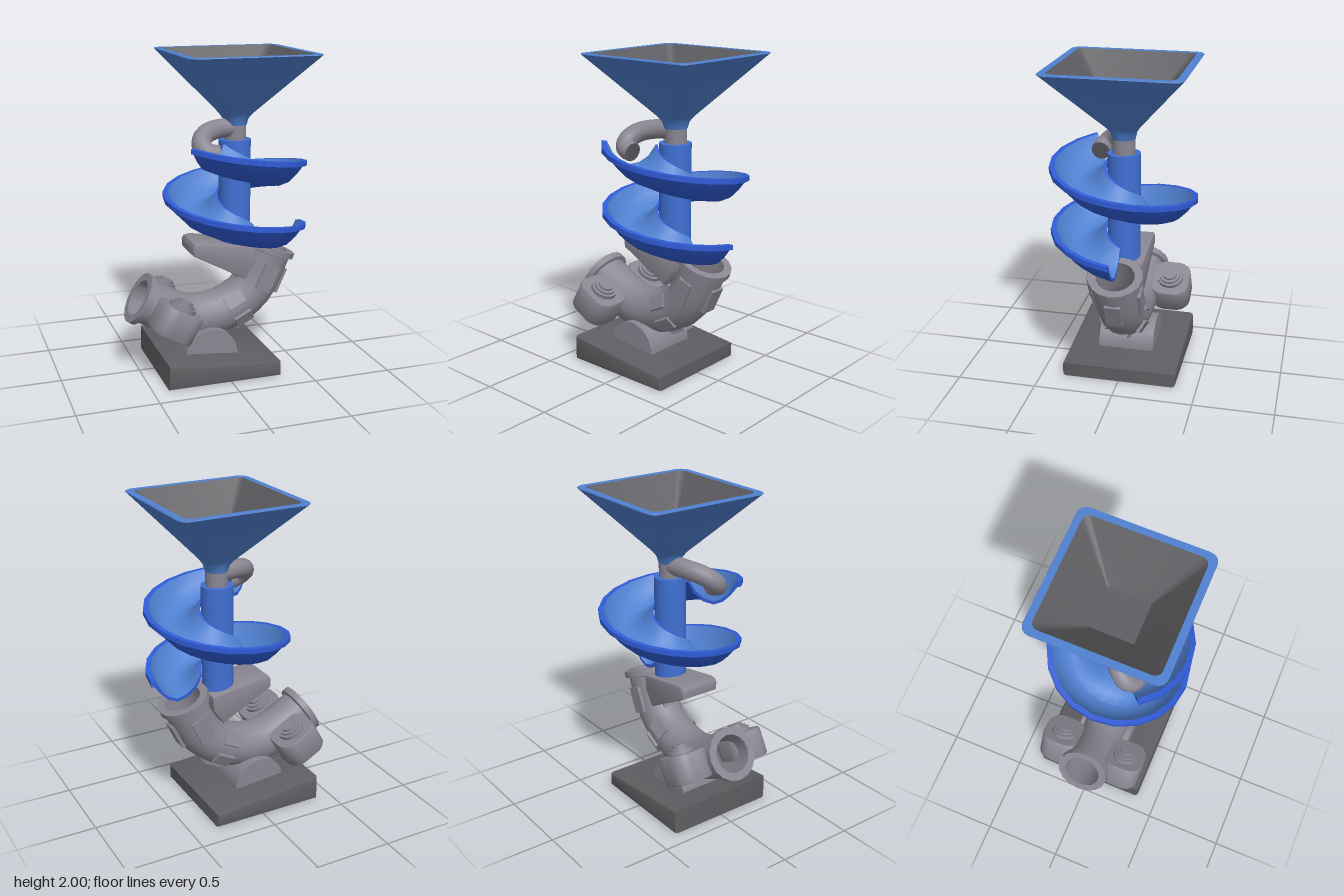
import * as THREE from 'three';
import { toCreasedNormals } from 'three/addons/utils/BufferGeometryUtils.js';

const V = (x, y, z) => new THREE.Vector3(x, y, z);
const AXIS = 0.14; // x of the upright column

function material(name, color) {
  const m = new THREE.MeshStandardMaterial({ color, side: THREE.DoubleSide });
  m.name = name;
  return m;
}

// Skin a list of equally long point rows
function loft(rows, closed, crease = 0.6) {
  const n = rows[0].length, pos = [], idx = [];
  rows.forEach(r => r.forEach(p => pos.push(p.x, p.y, p.z)));
  for (let i = 0; i < rows.length - 1; i++) {
    for (let j = 0; j < (closed ? n : n - 1); j++) {
      const k = (j + 1) % n, a = i * n + j, b = a + n, c = (i + 1) * n + k, d = i * n + k;
      idx.push(a, b, c, a, c, d);
    }
  }
  const g = new THREE.BufferGeometry();
  g.setAttribute('position', new THREE.Float32BufferAttribute(pos, 3));
  g.setIndex(idx);
  g.computeVertexNormals();
  return toCreasedNormals(g, crease);
}

// Horizontal rounded square of half width h and corner radius r
function squareRing(y, h, r) {
  const pts = [];
  for (let q = 0; q < 4; q++) {
    const mid = (q + 0.5) * Math.PI / 2;
    for (let s = 0; s <= 5; s++) {
      const a = (q + s / 5) * Math.PI / 2;
      pts.push(V(AXIS + Math.sign(Math.cos(mid)) * (h - r) + r * Math.cos(a), y,
        Math.sign(Math.sin(mid)) * (h - r) + r * Math.sin(a)));
    }
  }
  return pts;
}

// Outline in x,y extruded symmetrically about z = 0, with an optional bevel
function slab(shape, half, bevel = 0) {
  const g = new THREE.ExtrudeGeometry(shape, {
    depth: 2 * (half - bevel), bevelEnabled: bevel > 0, bevelSize: bevel,
    bevelThickness: bevel, bevelSegments: 2, curveSegments: 10,
  });
  g.translate(0, 0, bevel - half);
  return toCreasedNormals(g, 0.6);
}
const polygon = pts => new THREE.Shape(pts.map(p => new THREE.Vector2(p[0], p[1])));

export function createModel() {
  const model = new THREE.Group();
  model.name = 'funnelSlide';
  const funnelBlue = material('funnelBlue', 0x4f80d0);
  const slideBlue = material('slideBlue', 0x2f5bd6);
  const columnBlue = material('columnBlue', 0x4070d4);
  const grey = material('pipeGrey', 0x8a8692);
  const dark = material('darkGrey', 0x5e5e62);

  const add = (name, geometry, mat, parent = model) => {
    const m = new THREE.Mesh(geometry, mat);
    m.name = name;
    parent.add(m);
    return m;
  };

  // Wedge base and half-round saddle
  add('base', slab(polygon([[-0.38, 0.022], [0.307, 0.022], [0.307, 0.07], [-0.38, 0.138]]), 0.367, 0.022), dark);
  const saddle = new THREE.Shape();
  saddle.moveTo(0.1, 0.07);
  saddle.lineTo(0.1, 0.115);
  saddle.absarc(-0.07, 0.115, 0.17, 0, Math.PI, false);
  saddle.lineTo(-0.24, 0.07);
  add('saddle', slab(saddle, 0.178), grey);

  // Hollow bent pipe with a flange at each end
  const bend = new THREE.CatmullRomCurve3([
    V(-0.5, 0.49, 0), V(-0.36, 0.41, 0), V(-0.2, 0.34, 0), V(-0.03, 0.335, 0), V(0.14, 0.39, 0),
    V(0.26, 0.49, 0), V(0.33, 0.62, 0), V(0.385, 0.755, 0),
  ]);
  const frame = t => {
    const T = bend.getTangentAt(t);
    return { P: bend.getPointAt(t), T, N: V(T.y, -T.x, 0) };
  };
  const pipeRing = (t, r) => {
    const { P, N } = frame(t);
    return Array.from({ length: 16 }, (_, j) => {
      const a = j / 16 * Math.PI * 2;
      return P.clone().addScaledVector(N, r * Math.cos(a)).add(V(0, 0, r * Math.sin(a)));
    });
  };
  const rings = [pipeRing(0, 0.118), pipeRing(0, 0.167), pipeRing(0.035, 0.167), pipeRing(0.04, 0.143)];
  for (let i = 1; i < 16; i++) rings.push(pipeRing(0.04 + 0.92 * i / 16, 0.143));
  rings.push(pipeRing(0.96, 0.143), pipeRing(0.965, 0.167), pipeRing(1, 0.167), pipeRing(1, 0.118));
  for (let i = 15; i >= 0; i--) rings.push(pipeRing(i / 16, 0.118));
  add('bentPipe', loft(rings, true), grey);

  // Raised panels around the rising half of the pipe
  const panel = (t, degrees, width, length) => {
    const { P, T, N } = frame(t), a = degrees * Math.PI / 180;
    const out = N.clone().multiplyScalar(Math.cos(a)).add(V(0, 0, Math.sin(a)));
    const m = add('pipePanel', new THREE.BoxGeometry(width, 0.03, length), grey);
    m.quaternion.setFromRotationMatrix(new THREE.Matrix4().makeBasis(out.clone().cross(T), out, T));
    m.position.copy(P).addScaledVector(out, 0.138);
  };
  for (const a of [0, 90, 180, 270]) panel(0.83, a, 0.1, 0.17);
  for (const a of [0, 60, 120, 240, 300]) panel(0.595, a, 0.085, 0.12);

  // Side canisters with stepped caps
  const outline = new THREE.Shape();
  const hx = 0.132, hz = 0.122, c = 0.085;
  outline.moveTo(hx, hz - c);
  outline.absarc(hx - c, hz - c, c, 0, Math.PI / 2, false);
  outline.absarc(c - hx, hz - c, c, Math.PI / 2, Math.PI, false);
  outline.absarc(c - hx, c - hz, c, Math.PI, Math.PI * 1.5, false);
  outline.absarc(hx - c, c - hz, c, Math.PI * 1.5, Math.PI * 2, false);
  const bodyGeo = toCreasedNormals(new THREE.ExtrudeGeometry(outline, {
    depth: 0.16, bevelEnabled: true, bevelSize: 0.006, bevelThickness: 0.01, bevelSegments: 1, curveSegments: 4,
  }).translate(0, 0, -0.08).rotateX(-Math.PI / 2), 0.6);
  for (const side of [1, -1]) {
    const can = new THREE.Group();
    can.name = side > 0 ? 'frontCanister' : 'backCanister';
    can.position.set(-0.32, 0.39, side * 0.222);
    can.rotation.z = -0.51;
    add('canisterBody', bodyGeo, grey, can);
    [[0.085, 0.1], [0.068, 0.115], [0.048, 0.13]].forEach(([r, y]) =>
      add('canisterCap', new THREE.CylinderGeometry(r, r, 0.03, 16).translate(0, y, 0), grey, can));
    model.add(can);
  }

  // Bracket carrying the column
  add('bracket', slab(polygon([[-0.16, 0.77], [0.16, 0.6], [0.22, 0.69], [0.225, 0.772],
    [-0.12, 0.83], [-0.155, 0.825], [-0.163, 0.81]]), 0.135, 0.012), grey);

  // Column and neck
  add('column', new THREE.CylinderGeometry(0.1, 0.1, 0.68, 24).translate(AXIS - 0.003, 1.12, 0), columnBlue);
  add('neck', new THREE.CylinderGeometry(0.068, 0.068, 0.14, 24).translate(AXIS, 1.49, 0), grey);

  // Square funnel: outer skin with rim, and dark lining with a flat floor
  add('funnel', loft([
    [1.55, 0.07, 0.068], [1.59, 0.077, 0.062], [1.62, 0.095, 0.06], [1.65, 0.12, 0.06], [1.99, 0.41, 0.06],
    [1.995, 0.415, 0.06], [2, 0.413, 0.06], [2, 0.37, 0.045],
  ].map(a => squareRing(...a)), true), funnelBlue);
  add('funnelLining', loft([[2, 0.37, 0.045], [1.71, 0.136, 0.008], [1.71, 0.001, 0.0005]]
    .map(a => squareRing(...a)), true), dark);

  // Feed tube curling from the neck over the head of the slide
  const feed = new THREE.CatmullRomCurve3([V(0.12, 1.535, 0), V(0, 1.53, 0.03), V(-0.09, 1.505, 0.085),
    V(-0.125, 1.46, 0.145), V(-0.1, 1.42, 0.185), V(-0.04, 1.405, 0.19)]);
  add('feedTube', new THREE.TubeGeometry(feed, 20, 0.06, 14), grey);
  const cap = add('feedTubeEnd', new THREE.CircleGeometry(0.06, 14), dark);
  cap.position.copy(feed.getPointAt(1));
  cap.quaternion.setFromUnitVectors(V(0, 0, 1), feed.getTangentAt(1));

  // Spiral slide: trough section as [radius, height], swept down 504 degrees
  const under = [[0.105, -0.02], [0.15, -0.1], [0.21, -0.15], [0.28, -0.165], [0.34, -0.14], [0.39, -0.09], [0.43, -0.035]];
  const trough = [[0.42, 0], [0.38, -0.08], [0.33, -0.125], [0.28, -0.145], [0.22, -0.13], [0.165, -0.09], [0.12, -0.02]];
  const shell = [[0.12, -0.02], ...under, [0.452, -0.03], [0.452, 0], [0.42, 0]];
  const section = (profile, i) => {
    const deg = 144 - i * 18, a = deg * Math.PI / 180, y = 1.305 + deg * 0.4 / 360;
    return profile.map(([r, h]) => V(AXIS - 0.003 + r * Math.cos(a), y + h, r * Math.sin(a)));
  };
  const sweep = profile => loft(Array.from({ length: 29 }, (_, i) => section(profile, i)), false);
  add('slideShell', sweep(shell), slideBlue);
  add('slideTrough', sweep(trough), funnelBlue);
  const capLow = [...under, [0.452, 0]], capHigh = [...trough.slice().reverse(), [0.42, 0]];
  add('slideTopEnd', loft([section(capLow, 0), section(capHigh, 0)], false), slideBlue);
  add('slideBottomEnd', loft([section(capHigh, 28), section(capLow, 28)], false), slideBlue);

  return model;
}
